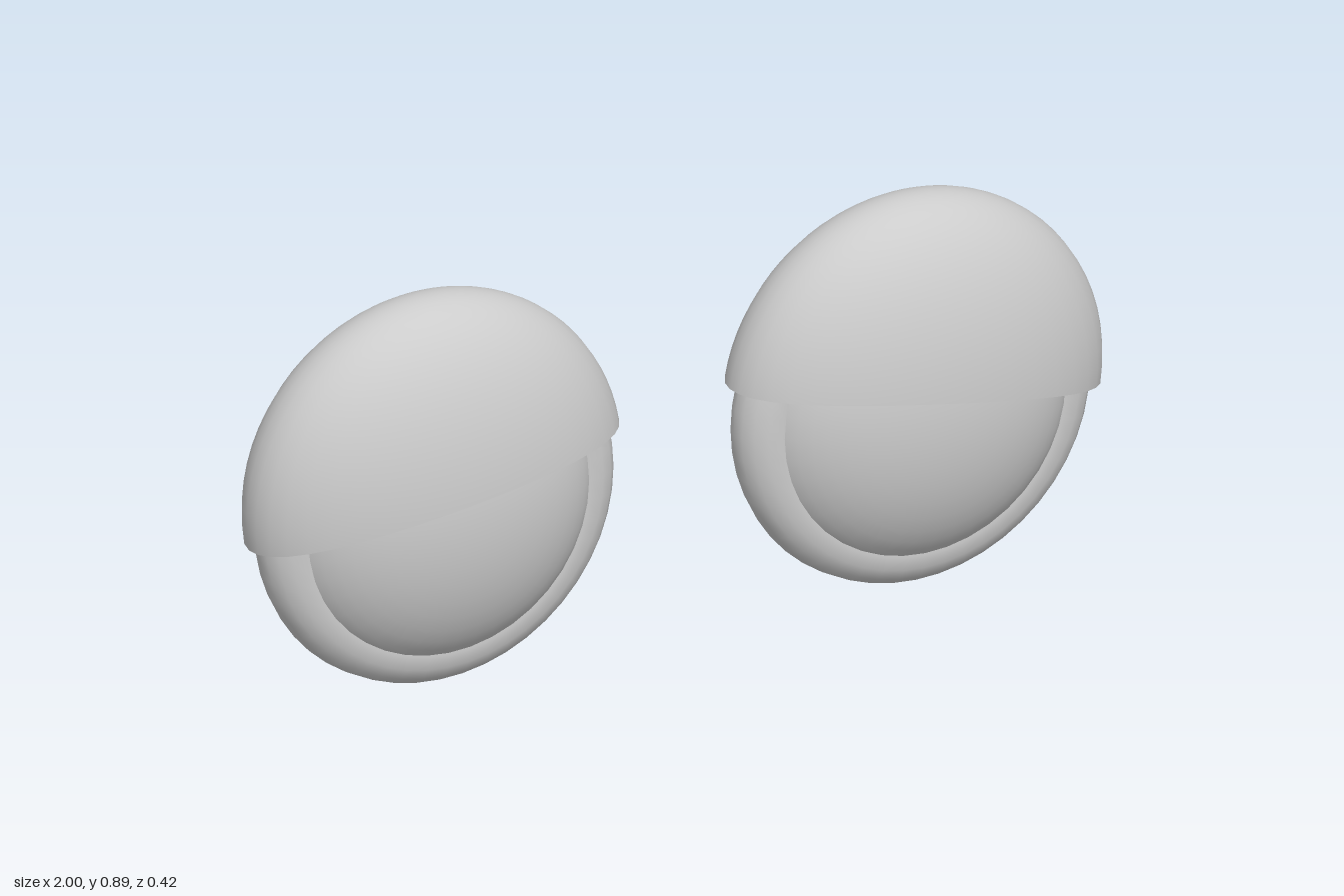
import * as THREE from 'three';

const material = new THREE.MeshStandardMaterial({ color: 0xcccccc });
const shellMaterial = new THREE.MeshStandardMaterial({ color: 0xcccccc, side: THREE.DoubleSide });

function part(name, geometry, y, mat = material) {
  const mesh = new THREE.Mesh(geometry, mat);
  mesh.name = name;
  mesh.position.y = y;
  return mesh;
}

// Open ellipsoid cap whose rim slopes down towards the outer side
function eyelidGeometry(side) {
  const rx = 0.435, ry = 0.435, rz = 0.21;
  const geometry = new THREE.SphereGeometry(1, 40, 18, 0, Math.PI * 2, 0, Math.PI / 2);
  const p = geometry.attributes.position, uv = geometry.attributes.uv;
  for (let i = 0; i < p.count; i++) {
    const phi = uv.getX(i) * Math.PI * 2;
    const t = 1 - uv.getY(i);
    const u = Math.cos(phi) * side; // +1 at the outer corner
    const rim = 0.033 - 0.07 * u - 0.033 * u * u; // rim height above the centre
    const theta = t * Math.acos(rim / ry);
    p.setXYZ(i,
      rx * Math.sin(theta) * Math.cos(phi),
      ry * Math.cos(theta),
      -rz * Math.sin(theta) * Math.sin(phi));
    // Exact ellipsoid normals keep the seam smooth
    const n = new THREE.Vector3(p.getX(i) / rx ** 2, p.getY(i) / ry ** 2, p.getZ(i) / rz ** 2).normalize();
    geometry.attributes.normal.setXYZ(i, n.x, n.y, n.z);
  }
  return geometry;
}

function createEye(side) {
  const eye = new THREE.Group();
  eye.name = side > 0 ? 'leftEye' : 'rightEye';
  eye.position.x = side * 0.565;

  // Flattened eyeball
  const ball = new THREE.SphereGeometry(1, 40, 24).rotateX(Math.PI / 2).scale(0.358, 0.358, 0.18);
  const eyeball = part('eyeball', ball, 0.418);

  // Ring around the eyeball
  const ring = part('eyeRing', new THREE.TorusGeometry(0.335, 0.08, 16, 48).scale(1, 1, 0.88), 0.418);
  eyeball.position.x = ring.position.x = -side * 0.005;

  eye.add(eyeball, ring, part('eyelid', eyelidGeometry(side), 0.455, shellMaterial));
  return eye;
}

export function createModel() {
  const model = new THREE.Group();
  model.name = 'eyes';
  for (const side of [-1, 1]) model.add(createEye(side));
  return model;
}
